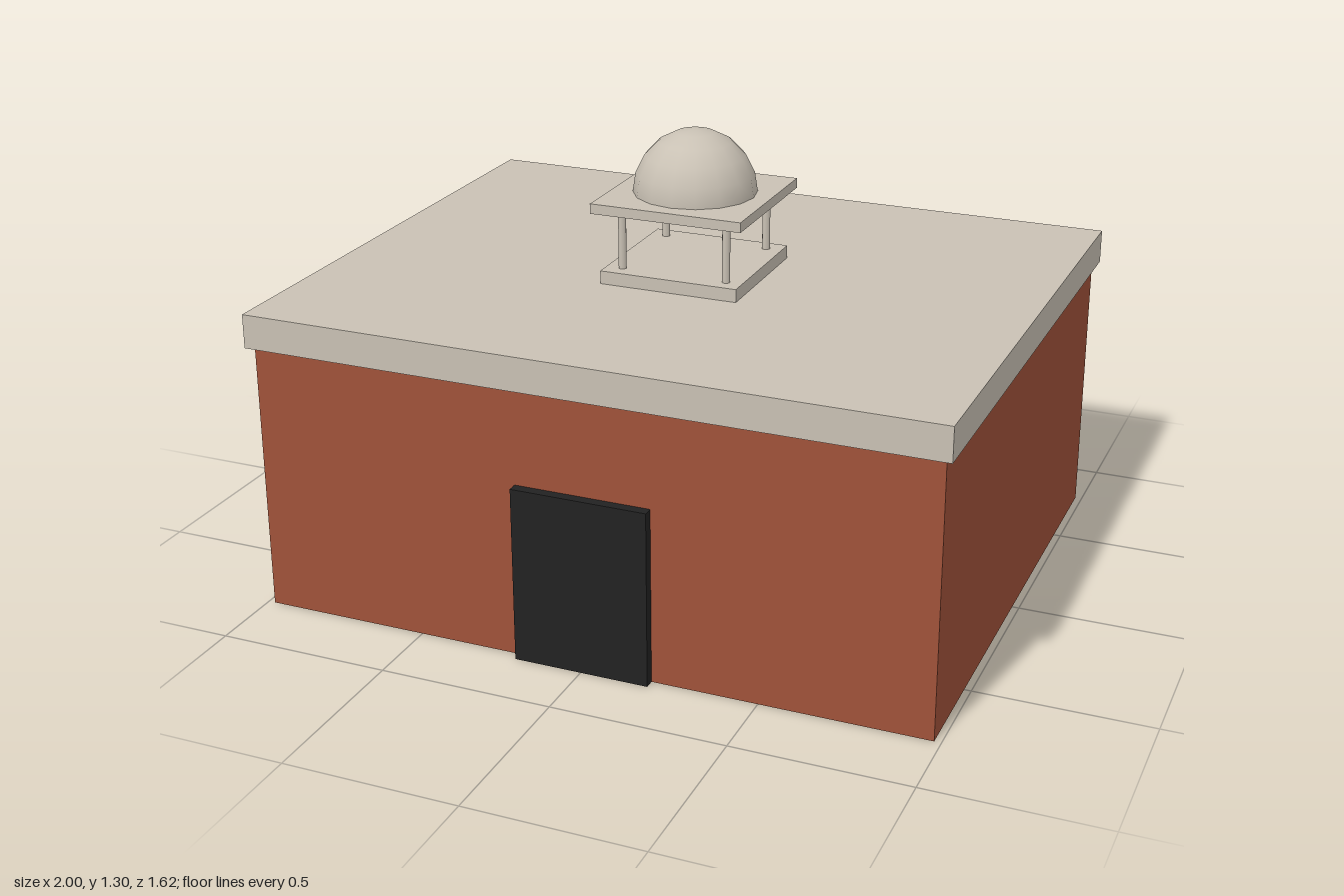
import * as THREE from 'three';

export function createModel() {
  const model = new THREE.Group();
  model.name = 'domedBuilding';

  const material = (name, color) => {
    const m = new THREE.MeshStandardMaterial({ color });
    m.name = name;
    return m;
  };
  const brick = material('brickRed', 0xa0523a);
  const stone = material('paleStone', 0xc9c1b4);
  const dark = material('doorBlack', 0x222222);

  const add = (name, geometry, mat, x, y, z, parent = model) => {
    const mesh = new THREE.Mesh(geometry, mat);
    mesh.name = name;
    mesh.position.set(x, y, z);
    parent.add(mesh);
    return mesh;
  };
  // Box given by its size and the height of its underside
  const box = (name, w, h, d, mat, bottom, z, parent) =>
    add(name, new THREE.BoxGeometry(w, h, d), mat, 0, bottom + h / 2, z, parent);

  const centreZ = -0.004; // the door's projection shifts the building back

  // Main block
  box('walls', 1.961, 0.787, 1.566, brick, 0, centreZ);
  box('roofSlab', 2, 0.098, 1.606, stone, 0.787, centreZ);
  box('door', 0.392, 0.51, 0.04, dark, 0, 0.788);

  // Rooftop kiosk
  const kiosk = new THREE.Group();
  kiosk.name = 'kiosk';
  kiosk.position.z = centreZ;
  model.add(kiosk);
  box('kioskBase', 0.41, 0.038, 0.41, stone, 0.885, 0, kiosk);
  box('kioskCanopy', 0.449, 0.029, 0.449, stone, 1.095, 0, kiosk);

  const pillar = new THREE.CylinderGeometry(0.012, 0.012, 0.172, 8);
  for (const x of [-0.157, 0.157])
    for (const z of [-0.157, 0.157])
      add('kioskPillar', pillar, stone, x, 1.009, z, kiosk);

  // Dome resting on the canopy
  const dome = new THREE.SphereGeometry(0.177, 16, 5, 0, Math.PI * 2, 0, Math.PI / 2);
  dome.scale(1, 0.181 / 0.177, 1);
  add('dome', dome, stone, 0, 1.124, 0, kiosk);

  return model;
}
